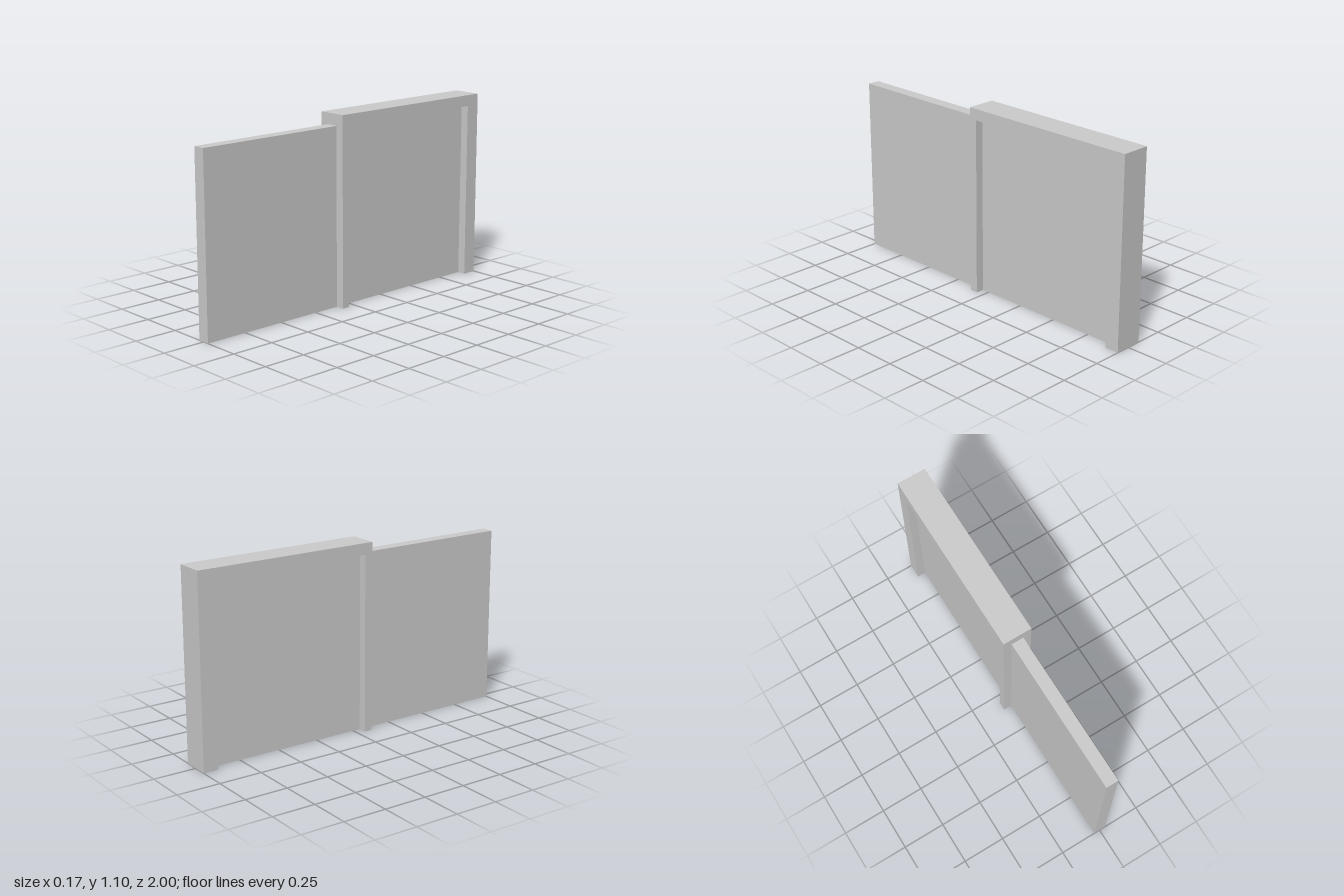
import * as THREE from 'three';

export function createModel() {
  const model = new THREE.Group();
  const material = new THREE.MeshStandardMaterial({ color: 0xcccccc, flatShading: true });

  // Door frame: two posts and a lintel, drawn as (z, y) and extruded across x
  const frameWidth = 0.17;
  const outline = new THREE.Shape([
    [-1, 0], [-0.915, 0], [-0.915, 1.03], [0.046, 1.03],
    [0.046, 0], [0.093, 0], [0.093, 1.095], [-1, 1.095],
  ].map(([z, y]) => new THREE.Vector2(z, y)));
  const frameGeometry = new THREE.ExtrudeGeometry(outline, { depth: frameWidth, bevelEnabled: false });
  frameGeometry.translate(0, 0, -frameWidth / 2).rotateY(-Math.PI / 2);
  const frame = new THREE.Mesh(frameGeometry, material);
  frame.name = 'doorFrame';
  model.add(frame);

  // Sliding panel: fills the opening and runs out through the front post
  const back = -0.915, front = 1, height = 1.03;
  const panel = new THREE.Mesh(new THREE.BoxGeometry(0.072, height, front - back), material);
  panel.position.set(0, height / 2, (front + back) / 2);
  panel.name = 'slidingPanel';
  model.add(panel);

  return model;
}
